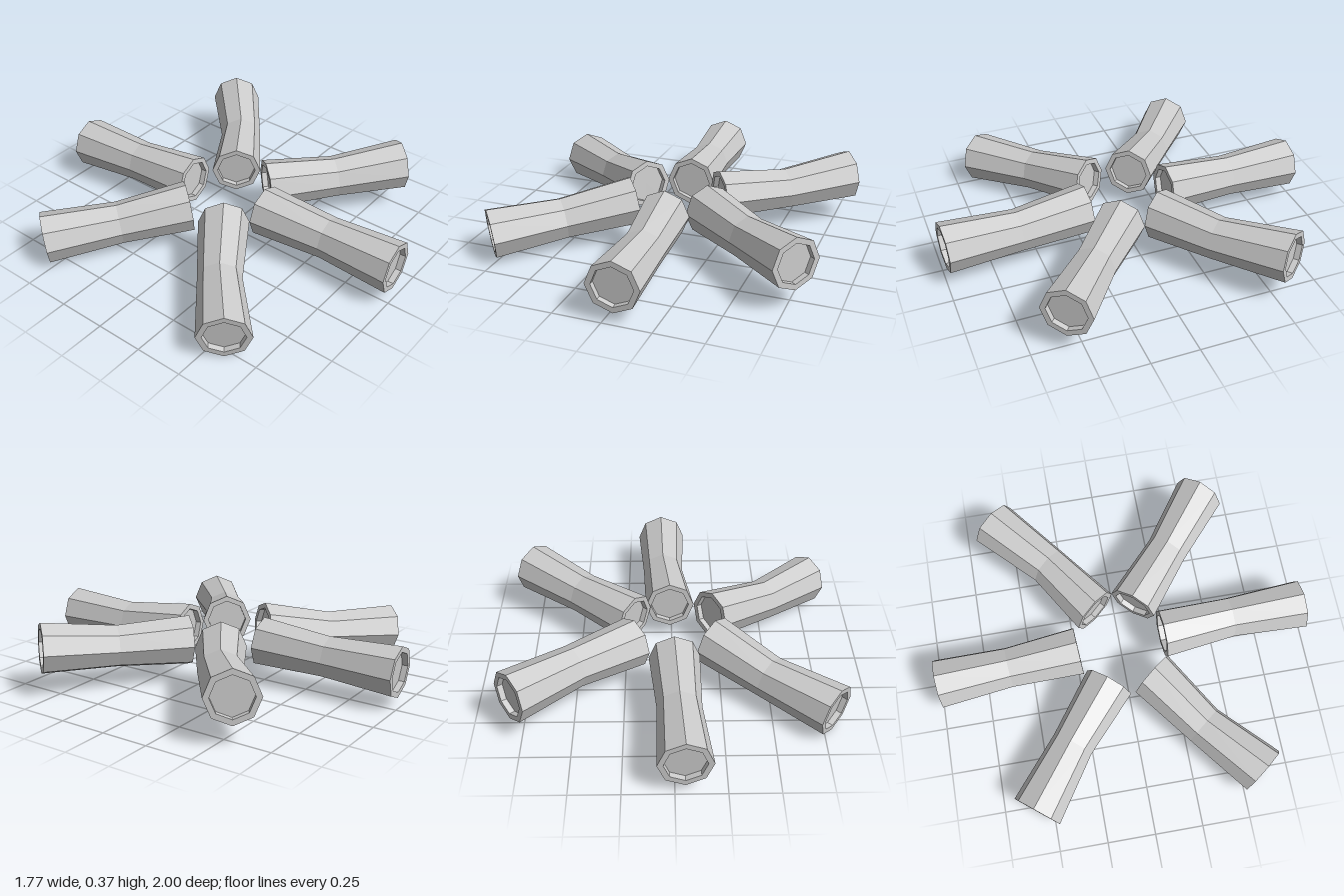
import * as THREE from 'three';

const SIDES = 8;
const INNER_R = 0.132, WAIST_R = 0.111, OUTER_R = 0.134, RECESS_R = 0.104, DEPTH = 0.03;
const UP = new THREE.Vector3(0, 1, 0);

// Centre line of each log: inner end, waist, outer end
const logs = {
  frontLog: [[0.01, 0.21, 0.22], [0.046, 0.19, 0.6], [0.055, 0.19, 0.99]],
  backLog: [[-0.008, 0.21, -0.235], [-0.028, 0.19, -0.61], [-0.05, 0.18, -0.99]],
  frontLeftLog: [[0.2, 0.215, 0.095], [0.49, 0.215, 0.34], [0.79, 0.24, 0.58]],
  backLeftLog: [[0.2, 0.215, -0.11], [0.505, 0.215, -0.315], [0.8, 0.24, -0.58]],
  frontRightLog: [[-0.205, 0.215, 0.125], [-0.51, 0.158, 0.345], [-0.795, 0.135, 0.6]],
  backRightLog: [[-0.21, 0.215, -0.105], [-0.49, 0.158, -0.345], [-0.8, 0.135, -0.58]],
};

// Eight-sided bent log with a shallow recess in both ends
function logGeometry(points) {
  const [inner, waist, outer] = points.map((p) => new THREE.Vector3(...p));
  const axis = outer.clone().sub(inner).normalize();
  const side = new THREE.Vector3().crossVectors(UP, axis).normalize();
  const top = new THREE.Vector3().crossVectors(axis, side);
  const innerFloor = inner.clone().addScaledVector(axis, DEPTH);
  const outerFloor = outer.clone().addScaledVector(axis, -DEPTH);
  const rings = [
    [innerFloor, 0], [innerFloor, RECESS_R], [inner, RECESS_R], [inner, INNER_R],
    [waist, WAIST_R],
    [outer, OUTER_R], [outer, RECESS_R], [outerFloor, RECESS_R], [outerFloor, 0],
  ];
  const positions = [];
  const index = [];
  rings.forEach(([centre, r], i) => {
    for (let j = 0; j < SIDES; j++) {
      const a = (j / SIDES) * Math.PI * 2;
      const v = centre.clone()
        .addScaledVector(side, r * Math.cos(a))
        .addScaledVector(top, r * Math.sin(a));
      positions.push(v.x, v.y, v.z);
      if (i === rings.length - 1) continue;
      const k = (j + 1) % SIDES;
      const p = i * SIDES + j, q = i * SIDES + k;
      if (r > 0) index.push(p, q, q + SIDES);
      if (r === 0) index.push(p, q + SIDES, p + SIDES);
      else if (rings[i + 1][1] > 0) index.push(p, q + SIDES, p + SIDES);
    }
  });
  const geometry = new THREE.BufferGeometry();
  geometry.setAttribute('position', new THREE.Float32BufferAttribute(positions, 3));
  geometry.setIndex(index);
  const flat = geometry.toNonIndexed();
  flat.computeVertexNormals();
  return flat;
}

export function createModel() {
  const group = new THREE.Group();
  group.name = 'logRing';
  const material = new THREE.MeshStandardMaterial({ color: 0xcccccc, flatShading: true });
  for (const [name, points] of Object.entries(logs)) {
    const mesh = new THREE.Mesh(logGeometry(points), material);
    mesh.name = name;
    group.add(mesh);
  }
  return group;
}
